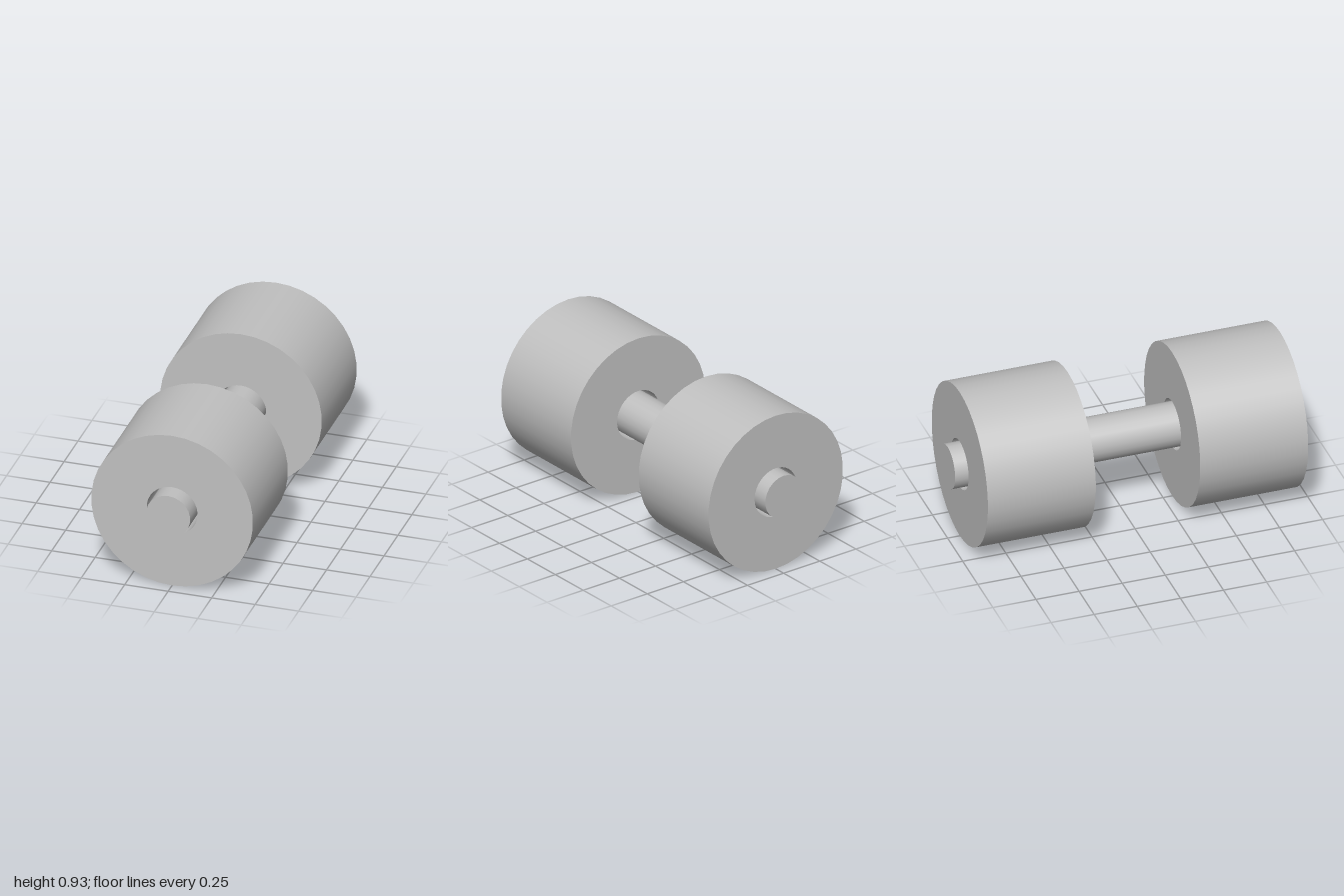
import * as THREE from 'three';
import { mergeGeometries } from 'three/addons/utils/BufferGeometryUtils.js';

const AXIS_Y = 0.465;

// Hollow drum along z: each profile edge is its own lathe so the rims stay sharp
function drumGeometry(outer, inner, length, sides) {
  const h = length / 2;
  const profile = [[outer, -h], [outer, h], [inner, h], [inner, -h], [outer, -h]]
    .map(([r, y]) => new THREE.Vector2(r, y));
  const faces = [];
  for (let i = 0; i < 4; i++) {
    faces.push(new THREE.LatheGeometry([profile[i], profile[i + 1]], sides));
  }
  return mergeGeometries(faces).rotateX(Math.PI / 2);
}

export function createModel() {
  const model = new THREE.Group();
  model.name = 'wheelAxle';

  const grey = new THREE.MeshStandardMaterial({ color: 0xc0c0c0 });
  grey.name = 'grey';

  // Axle running the full length
  const axle = new THREE.Mesh(
    new THREE.CylinderGeometry(0.127, 0.127, 2, 22).rotateX(Math.PI / 2), grey);
  axle.name = 'axle';
  axle.position.y = AXIS_Y;
  model.add(axle);

  // Wide wheels, bored slightly larger than the axle
  const wheelGeometry = drumGeometry(0.465, 0.146, 0.626, 38);
  for (const [name, side] of [['frontWheel', 1], ['backWheel', -1]]) {
    const wheel = new THREE.Mesh(wheelGeometry, grey);
    wheel.name = name;
    wheel.position.set(0, AXIS_Y, side * 0.616);
    model.add(wheel);
  }

  return model;
}
